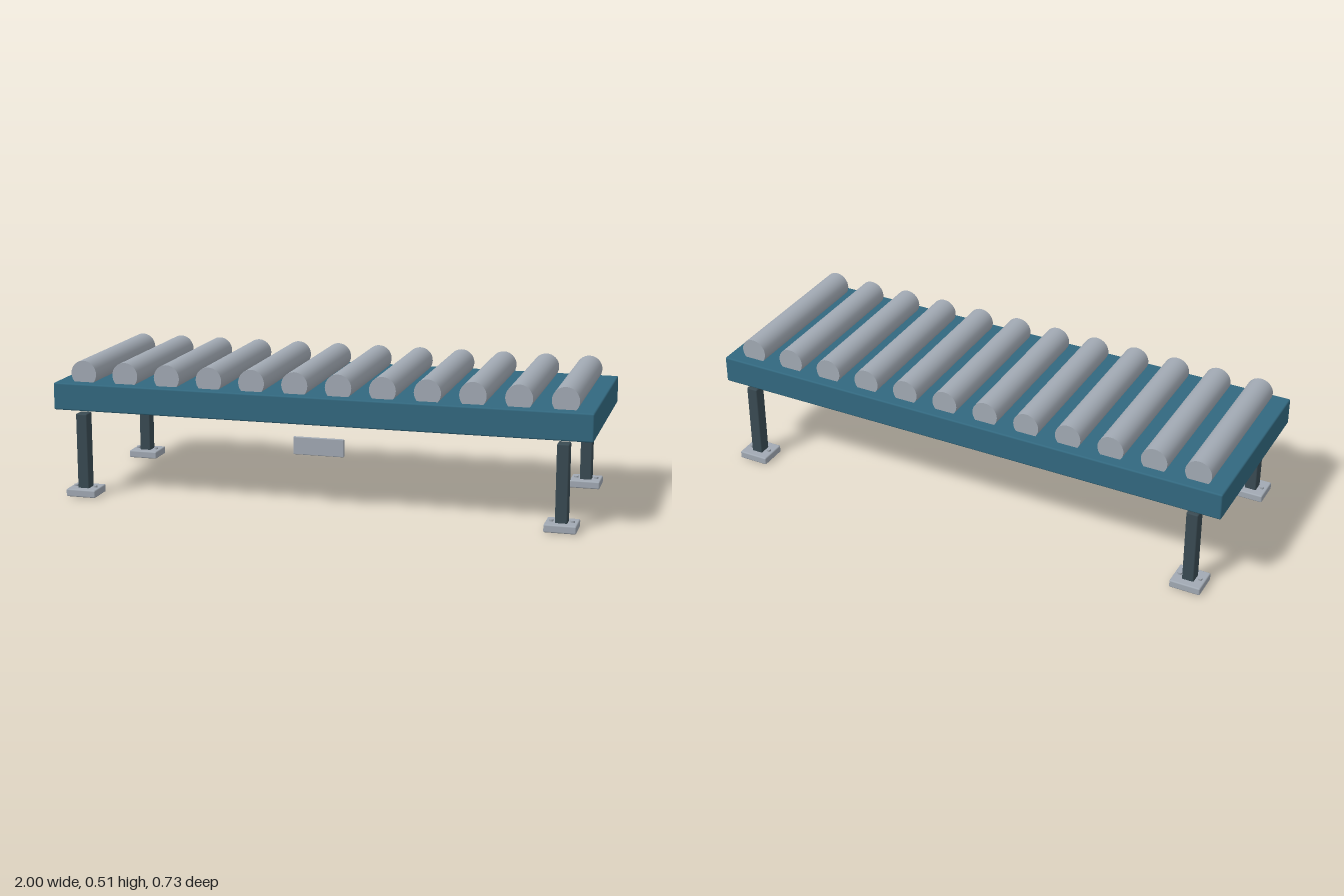
import * as THREE from 'three';
import { RoundedBoxGeometry } from 'three/addons/geometries/RoundedBoxGeometry.js';

function paint(name, color) {
  const m = new THREE.MeshStandardMaterial({ color });
  m.name = name;
  return m;
}

export function createModel() {
  const model = new THREE.Group();
  model.name = 'rollerConveyor';
  const blue = paint('frameBlue', 0x32687f);
  const steel = paint('rollerSteel', 0xa1a9b3);
  const dark = paint('legDark', 0x394a52);

  const add = (parent, name, geometry, material, x, y, z) => {
    const mesh = new THREE.Mesh(geometry, material);
    mesh.name = name;
    mesh.position.set(x, y, z);
    parent.add(mesh);
    return mesh;
  };
  const box = (w, h, d, r) => new RoundedBoxGeometry(w, h, d, 2, r);

  // Solid deck
  add(model, 'deck', box(2, 0.102, 0.686, 0.006), blue, 0, 0.377, 0);

  // Row of rollers, sunk part way into the deck
  const rollerCount = 12, endX = 0.895;
  const rollerGeometry = new THREE.CylinderGeometry(0.049, 0.049, 0.602, 32).rotateX(Math.PI / 2);
  for (let i = 0; i < rollerCount; i++) {
    const x = -endX + (2 * endX * i) / (rollerCount - 1);
    add(model, 'roller', rollerGeometry, steel, x, 0.459, 0);
  }

  // Four legs, each with a foot plate and two bolts
  const legGeometry = box(0.044, 0.314, 0.048, 0.005);
  const footGeometry = box(0.115, 0.029, 0.106, 0.005);
  const boltGeometry = new THREE.CylinderGeometry(0.008, 0.008, 0.012, 16);
  for (const sx of [-1, 1]) {
    for (const sz of [-1, 1]) {
      const support = new THREE.Group();
      support.name = 'support';
      support.position.set(sx * endX, 0, sz * 0.313);
      add(support, 'leg', legGeometry, dark, 0, 0.157, 0);
      add(support, 'footPlate', footGeometry, steel, 0, 0.0165, 0);
      for (const side of [-1, 1]) add(support, 'bolt', boltGeometry, steel, side * 0.038, 0.032, 0);
      model.add(support);
    }
  }

  // Small plate hanging below the front edge
  add(model, 'frontPlate', box(0.19, 0.066, 0.011, 0.003), steel, 0, 0.231, 0.2675);

  return model;
}
